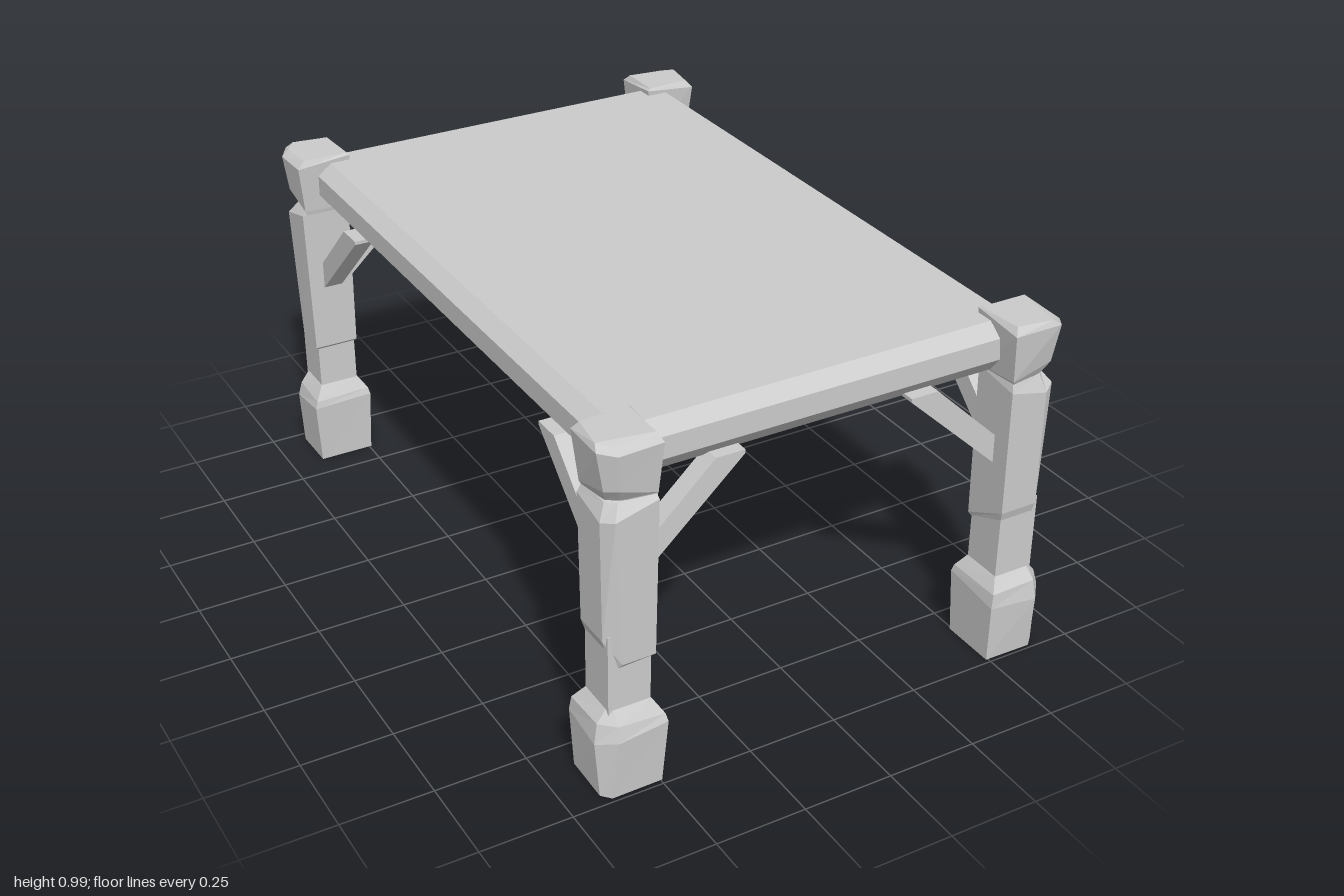
import * as THREE from 'three';

const material = new THREE.MeshStandardMaterial({ color: 0xcccccc, flatShading: true });

// Closed solid through stacked rings; ring points run counter-clockwise seen from above.
function loft(name, rings) {
  const pos = [];
  const tri = (...pts) => pts.forEach((p) => pos.push(...p));
  const n = rings[0].length;
  for (let r = 0; r < rings.length - 1; r++) {
    const lo = rings[r], hi = rings[r + 1];
    for (let i = 0; i < n; i++) {
      const j = (i + 1) % n;
      tri(lo[i], lo[j], hi[j]);
      tri(lo[i], hi[j], hi[i]);
    }
  }
  const bottom = rings[0], top = rings[rings.length - 1];
  for (let i = 1; i < n - 1; i++) {
    tri(bottom[0], bottom[i + 1], bottom[i]);
    tri(top[0], top[i], top[i + 1]);
  }
  const geo = new THREE.BufferGeometry();
  geo.setAttribute('position', new THREE.Float32BufferAttribute(pos, 3));
  geo.computeVertexNormals();
  const mesh = new THREE.Mesh(geo, material);
  mesh.name = name;
  return mesh;
}

const rect = (hx, hz, y) => [[hx, y, hz], [hx, y, -hz], [-hx, y, -hz], [-hx, y, hz]];

// Roughly hewn leg; its outer corner (-x, +z) is cut away.
function makeLeg() {
  const leg = new THREE.Group();
  leg.name = 'leg';
  leg.add(loft('foot', [
    [[0.078, 0, 0.08], [0.078, 0, -0.08], [-0.082, 0, -0.08], [-0.084, 0, 0.058], [-0.062, 0, 0.082]],
    [[0.088, 0.185, 0.092], [0.086, 0.19, -0.086], [-0.09, 0.17, -0.086], [-0.096, 0.16, 0.055], [-0.05, 0.17, 0.094]],
    [[0.084, 0.205, 0.084], [0.08, 0.21, -0.082], [-0.086, 0.21, -0.08], [-0.086, 0.215, 0.05], [-0.045, 0.212, 0.084]],
    [[0.059, 0.245, 0.058], [0.059, 0.245, -0.058], [-0.059, 0.245, -0.058], [-0.059, 0.245, 0.045], [-0.045, 0.245, 0.058]],
  ]));
  leg.add(loft('ankle', [rect(0.058, 0.057, 0.23), rect(0.058, 0.057, 0.46)]));
  leg.add(loft('shaft', [
    [[0.059, 0.37, 0.058], [0.059, 0.37, -0.058], [-0.059, 0.42, -0.058], [-0.059, 0.42, 0.042], [-0.03, 0.365, 0.058]],
    [[0.067, 0.378, 0.066], [0.067, 0.378, -0.062], [-0.066, 0.445, -0.062], [-0.066, 0.445, 0.045], [-0.025, 0.378, 0.068]],
    [[0.07, 0.815, 0.075], [0.07, 0.82, -0.067], [-0.068, 0.8, -0.067], [-0.068, 0.775, 0.042], [-0.045, 0.785, 0.076]],
    [[0.068, 0.83, 0.06], [0.068, 0.83, -0.064], [-0.056, 0.83, -0.06], [-0.05, 0.82, 0.03], [-0.025, 0.82, 0.05]],
  ]));
  leg.add(loft('cap', [
    [[0.07, 0.815, 0.062], [0.07, 0.815, -0.066], [-0.056, 0.815, -0.058], [-0.048, 0.825, 0.03], [-0.02, 0.825, 0.05]],
    [[0.072, 0.828, 0.066], [0.072, 0.825, -0.068], [-0.064, 0.83, -0.064], [-0.062, 0.86, 0.05], [-0.03, 0.862, 0.072]],
    [[0.08, 0.965, 0.08], [0.08, 0.98, -0.078], [-0.076, 0.965, -0.078], [-0.082, 0.97, 0.055], [-0.04, 0.962, 0.083]],
    [[0.07, 0.985, 0.058], [0.07, 0.985, -0.072], [-0.06, 0.985, -0.065], [-0.074, 0.985, 0.035], [-0.045, 0.978, 0.062]],
  ]));
  return leg;
}

// Diagonal brace running from a leg (at 0) toward +x and up to the top.
function makeBrace() {
  const shape = new THREE.Shape([
    [-0.04, 0.54], [0, 0.575], [0.27, 0.825], [0.27, 0.835], [0.19, 0.835], [0.18, 0.825], [0, 0.655], [-0.04, 0.62],
  ].map(([x, y]) => new THREE.Vector2(x, y)));
  const geo = new THREE.ExtrudeGeometry(shape, { depth: 0.055, bevelEnabled: false });
  geo.translate(0, 0, -0.0275);
  const brace = new THREE.Mesh(geo, material);
  brace.name = 'brace';
  return brace;
}

export function createModel() {
  const table = new THREE.Group();
  table.name = 'table';

  // Slab with bevelled upper and lower edges
  table.add(loft('tableTop', [
    rect(0.555, 0.878, 0.825),
    rect(0.594, 0.917, 0.872),
    rect(0.594, 0.917, 0.932),
    rect(0.555, 0.878, 0.965),
  ]));

  // Each leg is the previous one turned a quarter
  [[-1, 1], [1, 1], [1, -1], [-1, -1]].forEach(([sx, sz], k) => {
    const leg = makeLeg();
    leg.position.set(sx * 0.574, 0, sz * 0.906);
    leg.rotation.y = k * Math.PI / 2;
    table.add(leg);

    // One brace along the short side and one along the long side
    const across = makeBrace();
    across.position.set(sx * 0.508, 0, sz * 0.892);
    across.rotation.y = sx > 0 ? Math.PI : 0;
    const along = makeBrace();
    along.position.set(sx * 0.572, 0, sz * 0.835);
    along.rotation.y = sz * Math.PI / 2;
    table.add(across, along);
  });
  return table;
}
